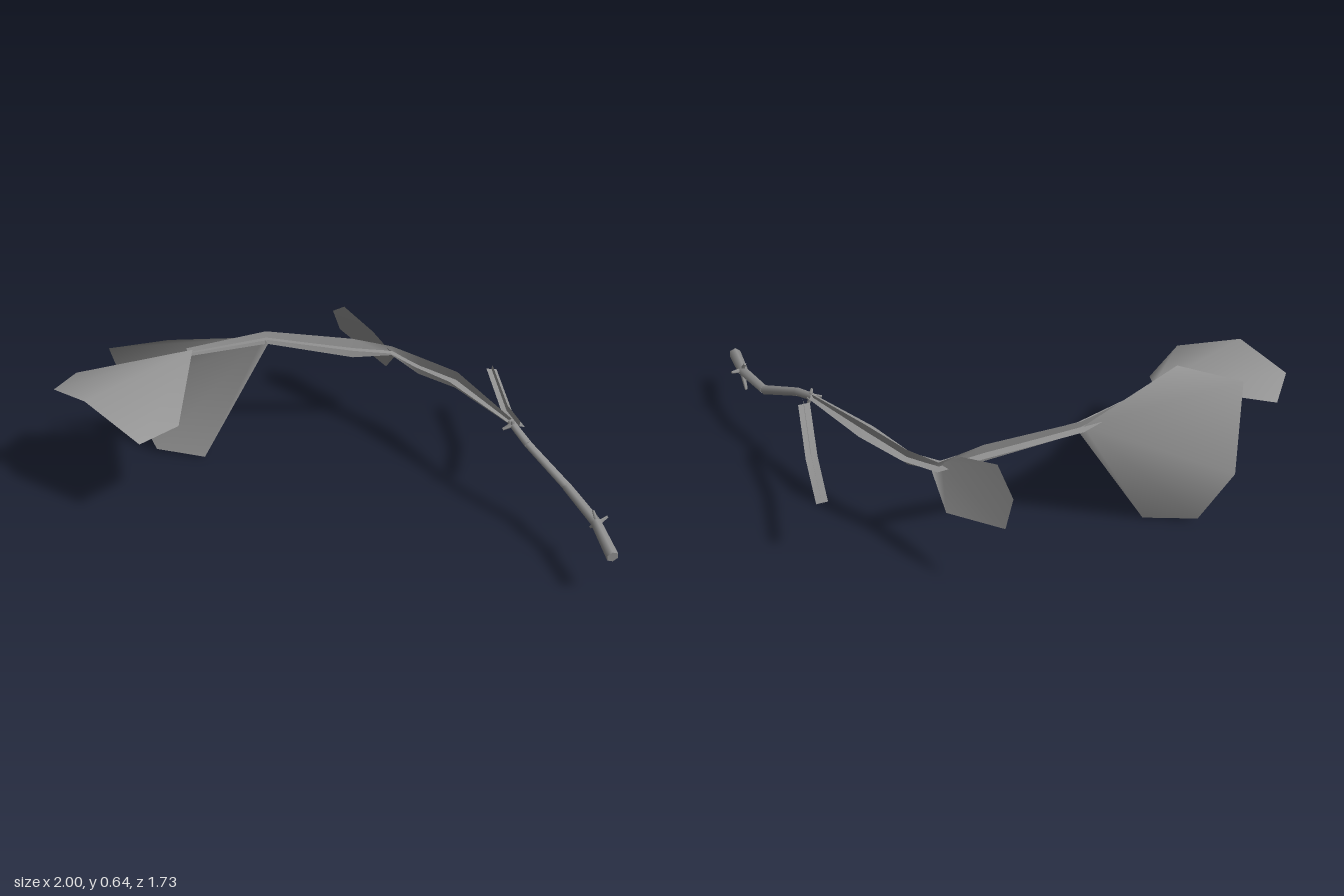
import * as THREE from 'three';

const stemMat = new THREE.MeshStandardMaterial({ color: 0x949494 });
const thinMat = new THREE.MeshStandardMaterial({ color: 0x949494, side: THREE.DoubleSide });

// Tapered rod between two points
function rod(name, a, b, ra, rb, sides = 6) {
  const p = new THREE.Vector3(...a), q = new THREE.Vector3(...b);
  const mesh = new THREE.Mesh(new THREE.CylinderGeometry(rb, ra, p.distanceTo(q), sides), stemMat);
  mesh.name = name;
  mesh.position.copy(p).lerp(q, 0.5);
  mesh.quaternion.setFromUnitVectors(new THREE.Vector3(0, 1, 0), q.sub(p).normalize());
  return mesh;
}

function surface(name, verts, index) {
  const g = new THREE.BufferGeometry();
  g.setAttribute('position', new THREE.Float32BufferAttribute(verts.flat(), 3));
  g.setIndex(index);
  g.computeVertexNormals();
  const mesh = new THREE.Mesh(g, thinMat);
  mesh.name = name;
  return mesh;
}

// Twig of two crossed, slightly tilted ribbons; each point is x, y, z, half width, half height
function crossedTwig(name, path) {
  const group = new THREE.Group();
  group.name = name;
  for (const upright of [false, true]) {
    const verts = [], index = [];
    path.forEach(([x, y, z, w, h], i) => {
      const a = path[Math.max(i - 1, 0)], b = path[Math.min(i + 1, path.length - 1)];
      const side = new THREE.Vector2(-(b[2] - a[2]), b[0] - a[0]).normalize();
      const d = upright
        ? [side.x * h * 0.15, h, side.y * h * 0.15]
        : [side.x * w, -w * 0.15, side.y * w];
      verts.push([x + d[0], y + d[1], z + d[2]], [x - d[0], y - d[1], z - d[2]]);
      const k = 2 * i;
      if (i) index.push(k - 2, k - 1, k, k - 1, k + 1, k);
    });
    group.add(surface(upright ? 'uprightRibbon' : 'flatRibbon', verts, index));
  }
  return group;
}

// Leaf as a fan from its first point
function leaf(name, verts) {
  const index = [];
  for (let i = 1; i < verts.length - 1; i++) index.push(0, i, i + 1);
  return surface(name, verts, index);
}

export function createModel() {
  const model = new THREE.Group();
  model.name = 'branch';

  // Solid main stem: x, y, z, radius
  const stem = [
    [0.99, 0.213, -0.46, 0.025], [0.82, 0.24, -0.53, 0.021], [0.61, 0.272, -0.566, 0.019],
    [0.4, 0.362, -0.545, 0.017], [0.28, 0.403, -0.553, 0.015],
  ];
  for (let i = 1; i < stem.length; i++) {
    const a = stem[i - 1], b = stem[i];
    model.add(rod('stem', a.slice(0, 3), b.slice(0, 3), a[3], b[3]));
  }

  // Thorny buds at the two stem nodes
  const buds = [
    [[0.83, 0.24, -0.53], [[0.8, 0.285, -0.53], [0.775, 0.18, -0.55], [0.83, 0.25, -0.58]]],
    [[0.3, 0.4, -0.552], [[0.305, 0.425, -0.54], [0.285, 0.385, -0.51], [0.3, 0.35, -0.57]]],
  ];
  for (const [root, tips] of buds)
    for (const tip of tips) model.add(rod('thorn', root, tip, 0.012, 0.006, 4));

  // Crossed-ribbon twigs
  model.add(crossedTwig('mainTwig', [
    [0.3, 0.4, -0.555, 0.015, 0.013], [-0.06, 0.423, -0.552, 0.037, 0.036],
    [-0.26, 0.403, -0.518, 0.026, 0.038], [-0.4, 0.42, -0.48, 0.03, 0.02],
    [-0.475, 0.452, -0.33, 0.03, 0.042], [-0.66, 0.527, -0.02, 0.028, 0.028],
    [-0.7, 0.57, 0.34, 0.014, 0.018],
  ]));
  model.add(crossedTwig('sideTwig', [
    [0.3, 0.375, -0.585, 0.023, 0.025], [0.09, 0.29, -0.705, 0.023, 0.024],
    [-0.175, 0.303, -0.848, 0.022, 0.02],
  ]));

  // Drooping leaf
  model.add(leaf('droopingLeaf', [
    [-0.665, 0.53, -0.01], [-0.65, 0.5, -0.02], [-0.73, 0, 0.27], [-0.885, 0.015, 0.415],
    [-1, 0.27, 0.47], [-0.895, 0.585, 0.59], [-0.72, 0.645, 0.41],
  ]));
  // End leaf, folded along its midrib
  model.add(leaf('endLeaf', [
    [-0.69, 0.58, 0.32], [-0.47, 0.415, 0.535], [-0.415, 0.445, 0.745],
    [-0.655, 0.555, 0.84], [-0.88, 0.5, 0.86], [-0.97, 0.475, 0.71], [-0.72, 0.55, 0.41],
  ]));
  // Small leaf at the bend
  model.add(leaf('bendLeaf', [
    [-0.4, 0.43, -0.465], [-0.39, 0.405, -0.505], [-0.49, 0.28, -0.52], [-0.765, 0.35, -0.475],
    [-0.76, 0.46, -0.435], [-0.65, 0.54, -0.415], [-0.48, 0.49, -0.44],
  ]));
  return model;
}
